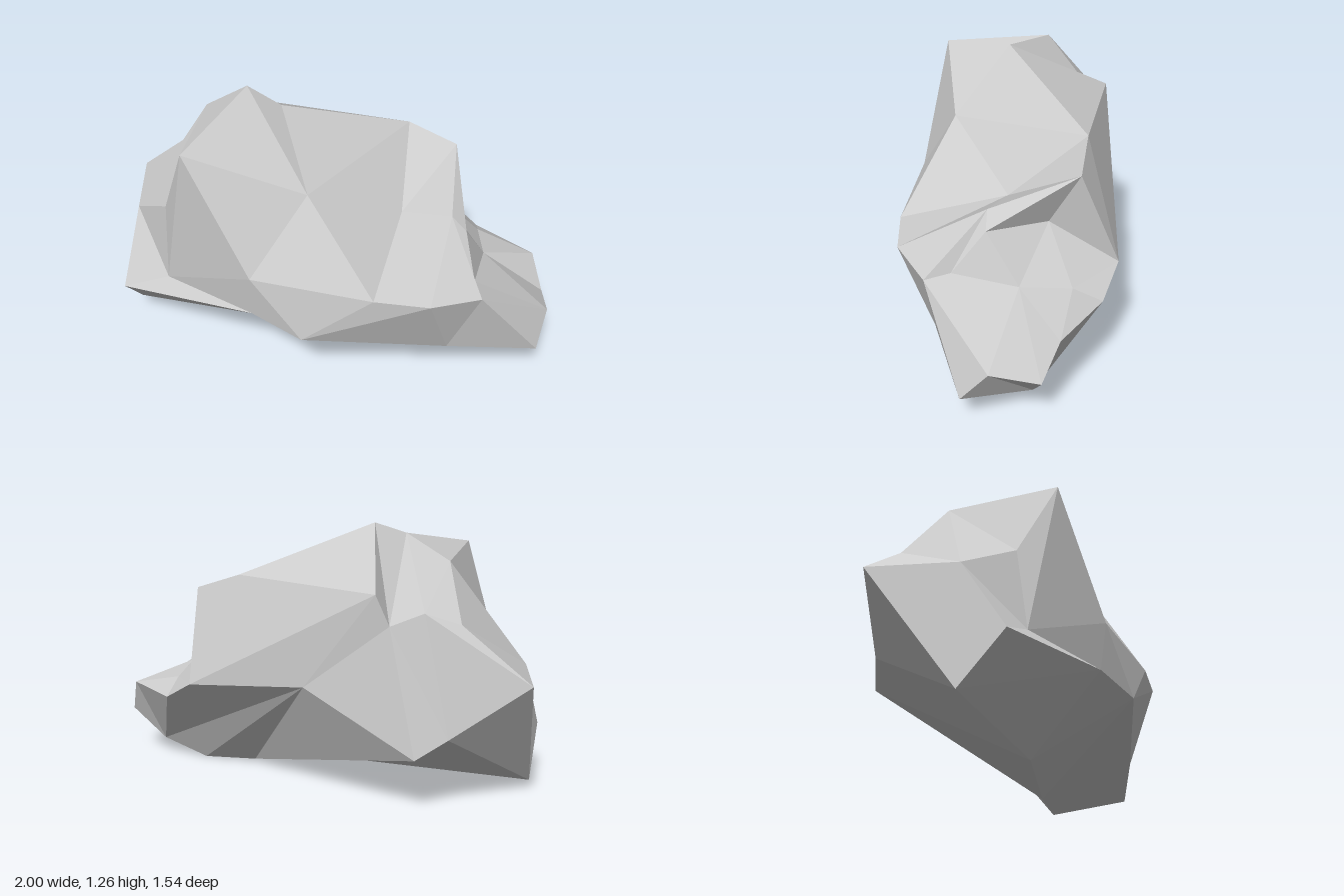
import * as THREE from 'three';

// Corner points by height level; each key letter takes the matching [x, y, z]
const levels = {
  // underside
  abcde: [[-.9, .04, -.39], [-.15, .03, .04], [.38, .01, .2], [.63, 0, .31], [.84, .08, .42]],
  // lower rim
  fghsijklmnopqr: [
    [-1, .27, -.21], [-.47, .36, .3], [-.29, .31, .5], [.38, .22, .67], [.82, .15, .76],
    [.91, .3, .67], [1, .24, .47], [.98, .41, .37], [.82, .41, .06], [.71, .51, -.09],
    [.2, .55, -.37], [-.25, .28, -.68], [-.4, .37, -.69], [-.75, .62, -.77]],
  // waist
  ABCDEFGHIJKLM: [
    [-.86, .62, -.38], [-.79, .37, -.09], [-.48, .59, .33], [0, .59, .66], [.23, .58, .77],
    [.49, .55, .76], [.51, .56, .64], [.68, .51, .4], [.76, .48, .18], [-.1, 1, -.53],
    [-.16, .86, -.55], [-.31, .92, -.58], [-.47, .87, -.61]],
  // shoulder and crest
  NOPQRSTUVWXY: [
    [-.7, 1.15, .07], [-.18, .96, .28], [.3, .74, .25], [.47, .8, .44], [.53, .73, .48],
    [.55, .71, .18], [.65, .95, .08], [.46, 1.03, -.07], [-.2, 1.26, -.03],
    [-.29, 1.24, -.3], [-.47, 1.12, -.4], [-.76, .76, -.13]],
};

// Bands around the rock: lower loop and upper loop, counter-clockwise from above.
// A repeated letter narrows that quad to a triangle.
const bands = [
  ['aabbcccdeeeeeeedccbbaaa', 'fgghhsiiijklmnoooppqqrA'],       // base and underside
  ['ffgghhhssijklmmnnoopqqrrrA', 'ABBCCDEEFFGHHInnJJKKKLLMAA'], // lower walls
  ['BCCDDEFGHInJJKLMAAB', 'NNOOPPQRSSTUVVWXXYY'],               // upper walls
  ['NOOPPQRSTUVWXYN', 'WWVUTTTTTUVWXXX'],                       // crown
];

function createRockGeometry() {
  const points = {};
  for (const [keys, coords] of Object.entries(levels)) {
    [...keys].forEach((key, i) => { points[key] = new THREE.Vector3(...coords[i]); });
  }
  const corners = [];
  const addTriangle = (a, b, c) => {
    if (a !== b && b !== c && c !== a) corners.push(points[a], points[b], points[c]);
  };
  for (const [lower, upper] of bands) {
    for (let i = 0; i < lower.length; i++) {
      const j = (i + 1) % lower.length;
      const a = lower[i], b = lower[j], c = upper[j], d = upper[i];
      // split each quad along its shorter diagonal
      if (points[a].distanceTo(points[c]) <= points[b].distanceTo(points[d])) {
        addTriangle(a, b, c);
        addTriangle(a, c, d);
      } else {
        addTriangle(a, b, d);
        addTriangle(b, c, d);
      }
    }
  }
  const geometry = new THREE.BufferGeometry().setFromPoints(corners);
  geometry.computeVertexNormals();
  return geometry;
}

export function createModel() {
  const group = new THREE.Group();
  group.name = 'boulder';
  const rock = new THREE.Mesh(
    createRockGeometry(),
    new THREE.MeshStandardMaterial({ color: 0xcccccc, flatShading: true }),
  );
  rock.name = 'rock';
  group.add(rock);
  return group;
}
